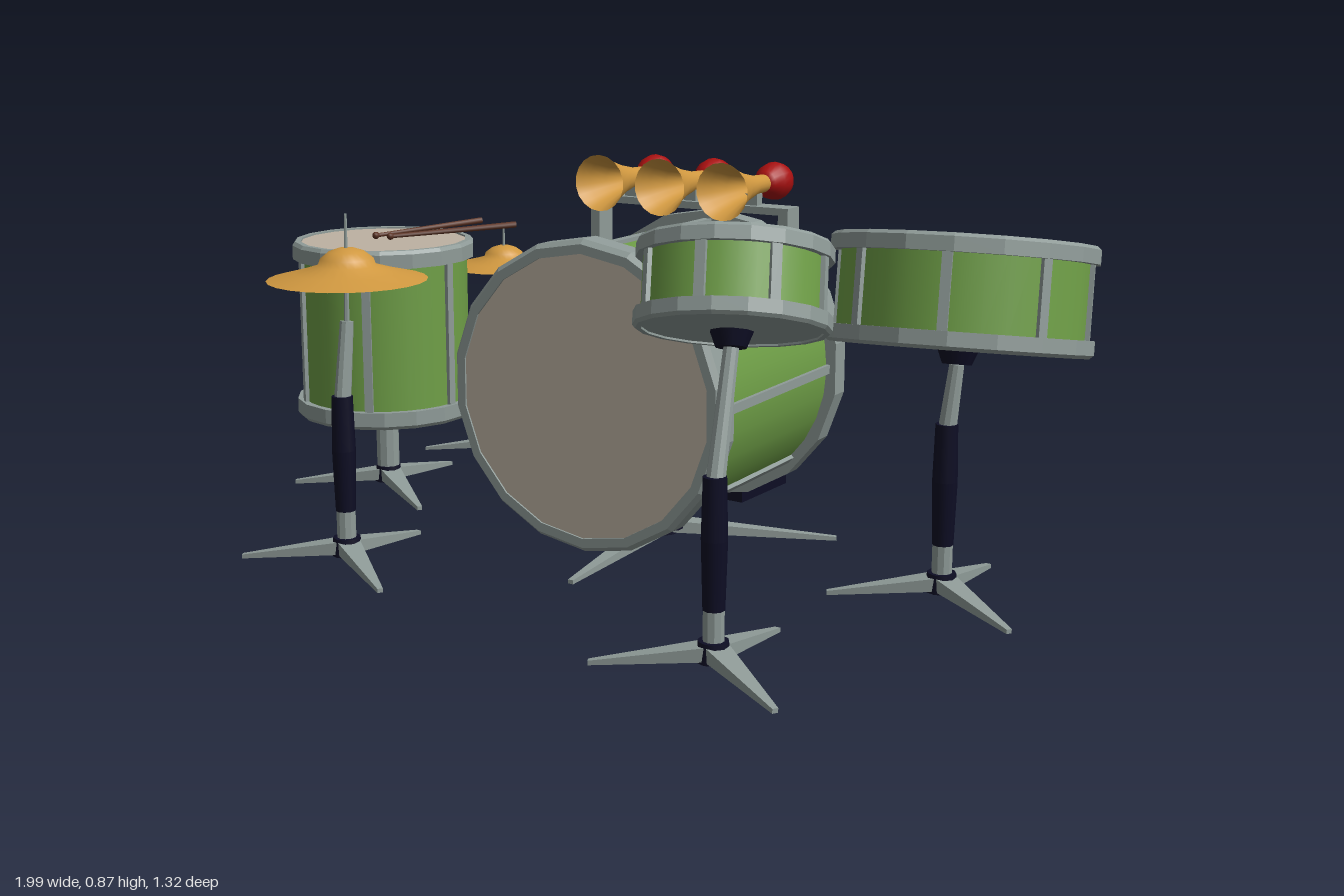
import * as THREE from 'three';

const V = (x, y, z) => new THREE.Vector3(x, y, z);
const UP = V(0, 1, 0);

function makeMaterials() {
  const colours = {
    greenShell: 0x6f9f47, greyMetal: 0x8f9b98, drumSkin: 0xbdb2a2, brass: 0xd09840,
    redRubber: 0xa81010, blackPlastic: 0x0d0d24, brownWood: 0x5c3222,
  };
  const mats = {};
  for (const [name, color] of Object.entries(colours)) {
    mats[name] = new THREE.MeshStandardMaterial({ color });
    mats[name].name = name;
  }
  mats.greyMetal.flatShading = true;
  mats.brass.side = THREE.DoubleSide;
  return mats;
}

function add(parent, name, geometry, material, x = 0, y = 0, z = 0) {
  const mesh = new THREE.Mesh(geometry, material);
  mesh.name = name;
  mesh.position.set(x, y, z);
  parent.add(mesh);
  return mesh;
}

function addGroup(parent, name, x = 0, y = 0, z = 0) {
  const g = new THREE.Group();
  g.name = name;
  g.position.set(x, y, z);
  parent.add(g);
  return g;
}

// Tapered round bar from a to b
function rod(parent, name, a, b, ra, rb, material, sides = 10) {
  const d = b.clone().sub(a);
  const mesh = add(parent, name, new THREE.CylinderGeometry(rb, ra, d.length(), sides), material);
  mesh.position.copy(a).addScaledVector(d, 0.5);
  mesh.quaternion.setFromUnitVectors(UP, d.normalize());
  return mesh;
}

const lathe = (pts, sides) =>
  new THREE.LatheGeometry(pts.map(p => new THREE.Vector2(p[0], p[1])), sides);

// Drum along the line from its bottom to its top, with hoops, skins and tension bars
function drum(parent, name, m, { bottom, top, r, hoop, lugs, lugTurn = 0, bothSkins = false }) {
  const axis = top.clone().sub(bottom);
  const h = axis.length();
  const g = addGroup(parent, name);
  g.position.copy(bottom).addScaledVector(axis, 0.5);
  g.quaternion.setFromUnitVectors(UP, axis.normalize());
  const rs = r * 0.92;
  add(g, 'shell', new THREE.CylinderGeometry(rs, rs, h - hoop, 32, 1, true), m.greenShell);
  for (const s of [1, -1]) {
    const ring = lathe([[r * 0.9, -hoop / 2], [r, -hoop / 2], [r, hoop * 0.3], [r * 0.97, hoop / 2],
      [r * 0.91, hoop / 2], [r * 0.9, -hoop / 2]], 18);
    const hoopMesh = add(g, 'hoop', ring, m.greyMetal, 0, s * (h - hoop) / 2, 0);
    const skinMat = s > 0 || bothSkins ? m.drumSkin : m.greyMetal;
    const skin = add(g, 'skin', new THREE.CylinderGeometry(r * 0.92, r * 0.92, 0.008, 18),
      skinMat, 0, s * (h / 2 - 0.008), 0);
    if (s < 0) hoopMesh.rotation.x = skin.rotation.x = Math.PI;
  }
  for (let i = 0; i < lugs; i++) {
    const a = lugTurn + (i / lugs) * Math.PI * 2;
    const bar = add(g, 'tensionBar', new THREE.BoxGeometry(0.02, h - hoop, 0.016),
      m.greyMetal, Math.sin(a) * rs, 0, Math.cos(a) * rs);
    bar.rotation.y = a;
  }
  return g;
}

// Three flat legs that narrow towards the floor; turn 0 points one leg to the back
function tripod(parent, m, x, z, length, turn = 0) {
  const g = addGroup(parent, 'tripod', x, 0, z);
  g.rotation.y = turn;
  for (let i = 0; i < 3; i++) {
    const geo = new THREE.BoxGeometry(1, 1, 1);
    const p = geo.attributes.position;
    for (let k = 0; k < p.count; k++) {
      const tip = p.getZ(k) < 0, up = p.getY(k) > 0;
      p.setXYZ(k, p.getX(k) * (tip ? 0.012 : 0.05),
        tip ? (up ? 0.009 : 0) : (up ? 0.048 : 0.02), tip ? -length : -0.015);
    }
    geo.computeVertexNormals();
    add(g, 'leg', geo, m.greyMetal).rotation.y = (i * Math.PI * 2) / 3;
  }
  add(g, 'hub', new THREE.CylinderGeometry(0.03, 0.034, 0.04, 10), m.blackPlastic, 0, 0.035, 0);
  return g;
}

// Upright stand with a black sleeve and a leaning upper tube
function stand(parent, m, x, z, top) {
  tripod(parent, m, x, z, 0.235);
  rod(parent, 'lowerTube', V(x, 0.04, z), V(x, 0.13, z), 0.021, 0.021, m.greyMetal);
  rod(parent, 'sleeve', V(x, 0.115, z), V(x, 0.25, z), 0.022, 0.026, m.blackPlastic);
  rod(parent, 'sleeve', V(x, 0.25, z), V(x, 0.37, z), 0.026, 0.023, m.blackPlastic);
  rod(parent, 'upperTube', V(x, 0.35, z), top, 0.019, 0.015, m.greyMetal);
}

// Cymbal on its own stand; the cymbal sits slightly behind the stand foot
function cymbal(parent, name, m, x, z, r, height, width, turn = 0) {
  const g = addGroup(parent, name, x, 0, z);
  g.rotation.y = turn;
  g.scale.set(width, height / 0.62, width);
  stand(g, m, 0, 0.028, V(0, 0.53, 0.006));
  rod(g, 'spike', V(0, 0.52, 0.006), V(0, 0.76, 0), 0.006, 0.003, m.greyMetal, 6);
  const R = r / width;
  add(g, 'cymbalPlate', lathe([[R, 0], [R * 0.65, 0.015], [R * 0.36, 0.03], [R * 0.33, 0.045],
    [R * 0.22, 0.06], [R * 0.1, 0.067], [0, 0.068]], 24), m.brass, 0, 0.62, 0);
}

export function createModel() {
  const m = makeMaterials();
  const model = new THREE.Group();
  model.name = 'drumKit';

  // Bass drum, turned slightly, with its own tripod
  const bass = addGroup(model, 'bassDrum', 0.022, 0, -0.04);
  bass.rotation.y = 0.055;
  drum(bass, 'bassBody', m, { bottom: V(0, 0.393, -0.295), top: V(0, 0.393, 0.295),
    r: 0.336, hoop: 0.06, lugs: 8, bothSkins: true });
  const bassFoot = tripod(bass, m, 0, -0.04, 0.38, Math.PI);
  bassFoot.scale.x = 1.05;
  add(bass, 'footBlock', new THREE.CylinderGeometry(0.045, 0.055, 0.07, 10), m.blackPlastic, 0, 0.065, -0.04);

  // Strap that carries the horns
  add(bass, 'hornBar', new THREE.BoxGeometry(0.51, 0.016, 0.055), m.greyMetal, 0, 0.752, -0.165);
  for (const s of [1, -1])
    add(bass, 'hornBarLeg', new THREE.BoxGeometry(0.024, 0.19, 0.055), m.greyMetal, s * 0.243, 0.65, -0.165);

  // Squeeze horns
  for (let i = -1; i <= 1; i++) {
    const horn = addGroup(bass, 'horn', i * 0.156, 0.803, -0.02);
    horn.rotation.x = Math.PI / 2;
    add(horn, 'hornBell', lathe([[0.014, -0.22], [0.02, -0.19], [0.022, -0.14], [0.034, -0.08],
      [0.048, -0.035], [0.056, -0.015], [0.063, 0]], 18), m.brass);
    add(horn, 'hornBulb', lathe([[0, -0.288], [0.022, -0.281], [0.038, -0.265], [0.043, -0.245],
      [0.039, -0.222], [0.026, -0.2], [0.02, -0.188], [0, -0.187]], 18), m.redRubber);
    add(horn, 'hornClip', new THREE.BoxGeometry(0.03, 0.025, 0.03), m.greyMetal, 0, -0.145, 0.033);
  }

  // Foot pedal: wedge-shaped plate and beater
  const pedal = addGroup(model, 'pedal');
  const side = new THREE.Shape([[0.39, 0.01], [0.6, 0.01], [0.6, 0.042], [0.45, 0.1],
    [0.42, 0.13], [0.39, 0.13]].map(p => new THREE.Vector2(p[0], p[1])));
  const wedge = add(pedal, 'pedalBase', new THREE.ExtrudeGeometry(side, { depth: 0.08, bevelEnabled: false }),
    m.blackPlastic, -0.04, 0, 0);
  wedge.rotation.y = Math.PI / 2;
  rod(pedal, 'beaterRod', V(0, 0.11, -0.4), V(0, 0.24, -0.43), 0.017, 0.014, m.greyMetal);
  const ball = add(pedal, 'beaterHead', new THREE.SphereGeometry(0.034, 14, 10), m.blackPlastic, 0, 0.257, -0.435);
  ball.scale.set(1, 1.1, 0.75);

  // Snare drum on a short stand
  drum(model, 'snareDrum', m, { bottom: V(-0.78, 0.197, -0.045), top: V(-0.78, 0.625, -0.045),
    r: 0.22, hoop: 0.042, lugs: 6, lugTurn: Math.PI / 6 });
  tripod(model, m, -0.785, -0.045, 0.238);
  rod(model, 'snarePost', V(-0.785, 0.04, -0.045), V(-0.785, 0.18, -0.045), 0.028, 0.028, m.greyMetal);
  rod(model, 'snareMount', V(-0.785, 0.165, -0.045), V(-0.785, 0.2, -0.045), 0.04, 0.05, m.blackPlastic);

  // Drumsticks lying on the snare
  for (const [a, b] of [[V(-0.8, 0.631, -0.04), V(-0.72, 0.64, -0.345)],
    [V(-0.762, 0.631, -0.05), V(-0.6, 0.64, -0.335)]]) {
    rod(model, 'drumstick', a, b, 0.005, 0.008, m.brownWood, 8);
    add(model, 'drumstickTip', new THREE.SphereGeometry(0.009, 8, 6), m.brownWood, a.x, a.y, a.z);
  }

  // Tilted toms on stands
  const toms = [
    { name: 'smallTom', bottom: V(0.522, 0.622, 0.44), top: V(0.495, 0.777, 0.387), r: 0.185,
      hoop: 0.032, foot: [0.545, 0.53], lugTurn: 0.2 },
    { name: 'largeTom', bottom: V(0.73, 0.522, -0.088), top: V(0.72, 0.74, -0.13), r: 0.27,
      hoop: 0.036, foot: [0.72, -0.07], lugTurn: 0.3 },
  ];
  for (const t of toms) {
    drum(model, t.name, m, { ...t, lugs: 8 });
    const down = t.bottom.clone().sub(t.top).normalize();
    const mount = t.bottom.clone().addScaledVector(down, 0.03);
    rod(model, 'tomMount', mount, t.bottom, 0.03, 0.042, m.blackPlastic);
    stand(model, m, t.foot[0], t.foot[1], mount);
  }

  // Cymbals
  cymbal(model, 'frontCymbal', m, -0.455, 0.425, 0.172, 0.622, 1);
  cymbal(model, 'backCymbal', m, -0.762, -0.488, 0.147, 0.5, 0.87);
  cymbal(model, 'lowCymbal', m, -0.485, -0.3, 0.122, 0.388, 0.72, Math.PI);

  return model;
}
